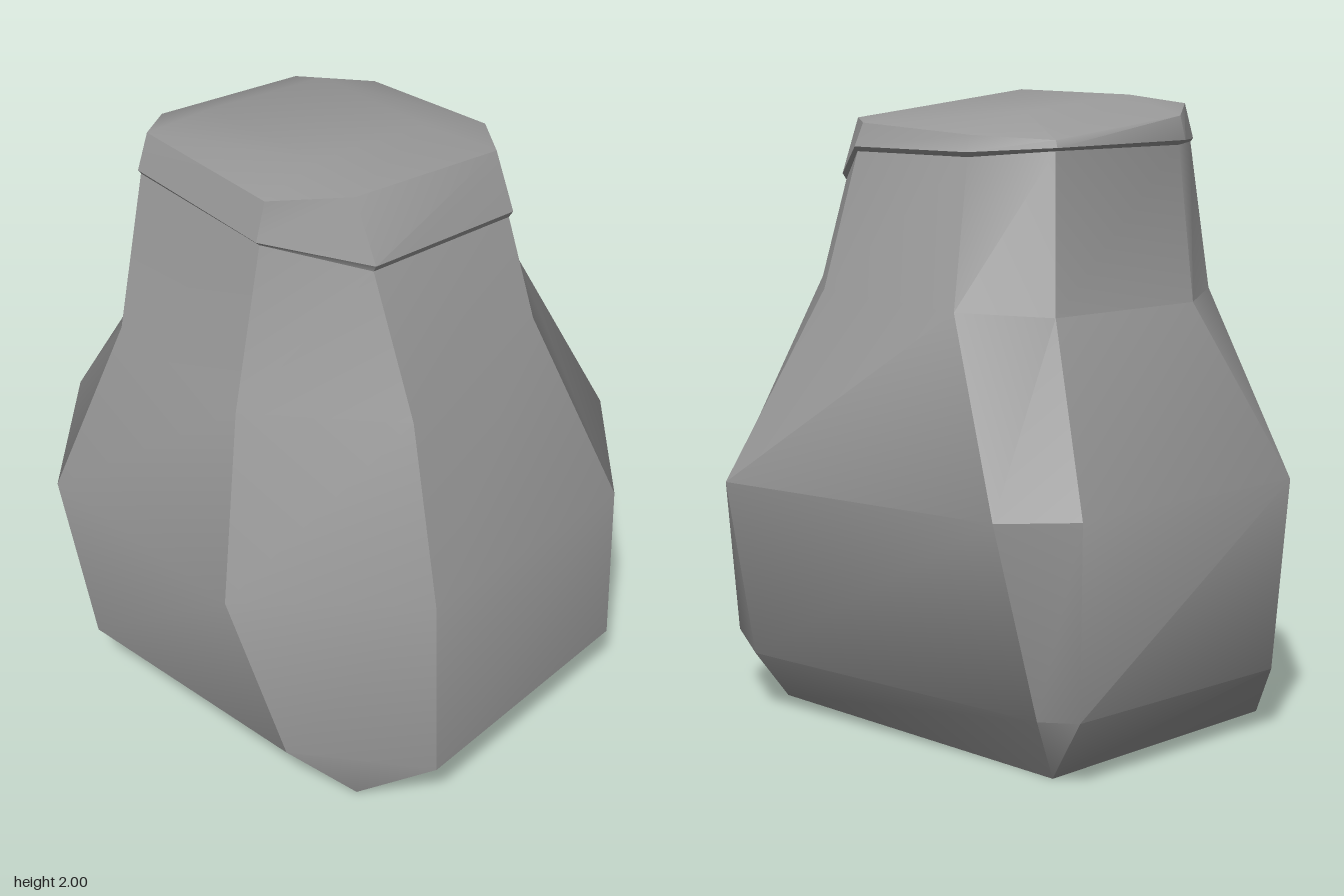
import * as THREE from 'three';
import { toCreasedNormals } from 'three/addons/utils/BufferGeometryUtils.js';

// Every ring has eight corners, anticlockwise from above:
// front -x, front +x, right front, right back, back +x, back -x, left back, left front.
const bottomRing = fourCorners([-0.51, 0, 0.6], [0.43, 0, 0.59], [0.43, 0, -0.63], [-0.53, 0, -0.63]);

const lowRing = [
  [-0.41, 0.2, 0.85], [0.475, 0.2, 0.785], [0.63, 0.2, 0.51], [0.57, 0.22, -0.7],
  [0.495, 0.22, -0.8], [-0.375, 0.21, -0.81], [-0.735, 0.2, -0.4], [-0.69, 0.2, 0.47],
];

const bellyRing = [
  [-0.38, 0.8, 0.8], [0.435, 0.8, 0.8], [0.8, 0.8, 0.43], [0.71, 0.82, -0.66],
  [0.52, 0.82, -0.83], [-0.4, 0.82, -0.85], [-0.8, 0.8, -0.47], [-0.8, 0.78, 0.33],
];

const shoulderRing = [
  [-0.295, 1.33, 0.61], [0.297, 1.4, 0.54], [0.54, 1.4, 0.25], [0.57, 1.38, -0.36],
  [0.34, 1.36, -0.55], [-0.255, 1.36, -0.57], [-0.6, 1.36, -0.345], [-0.63, 1.33, 0.21],
];

const neckRing = [
  [-0.27, 1.75, 0.415], [0.283, 1.717, 0.435], [0.415, 1.82, 0.23], [0.41, 1.82, -0.255],
  [0.265, 1.84, -0.475], [-0.285, 1.84, -0.48], [-0.475, 1.84, -0.365], [-0.495, 1.83, 0.18],
];

const rimRing = [
  [-0.27, 1.77, 0.425], [0.29, 1.737, 0.445], [0.427, 1.835, 0.23], [0.42, 1.835, -0.26],
  [0.27, 1.85, -0.488], [-0.295, 1.855, -0.497], [-0.48, 1.85, -0.372], [-0.51, 1.845, 0.183],
];

const lidRing = [
  [-0.262, 1.955, 0.33], [0.285, 1.917, 0.373], [0.4, 1.908, 0.22], [0.395, 1.885, -0.25],
  [0.258, 1.872, -0.47], [-0.29, 1.93, -0.48], [-0.44, 1.962, -0.37], [-0.472, 1.963, 0.18],
];

const crownRing = fourCorners([-0.24, 2, 0.16], [0.2, 1.955, 0.16], [0.2, 1.95, -0.29], [-0.24, 1.992, -0.31]);

// Chamfers that taper to a point share one corner.
function fourCorners(frontLeft, frontRight, backRight, backLeft) {
  return [frontLeft, frontRight, frontRight, backRight, backRight, backLeft, backLeft, frontLeft];
}

// Joins rings from bottom to top and closes the requested ends.
function loft(rings, capBottom, capTop) {
  const positions = [];
  const same = (a, b) => a.every((v, k) => v === b[k]);
  const triangle = (a, b, c) => {
    if (!same(a, b) && !same(b, c) && !same(a, c)) positions.push(...a, ...b, ...c);
  };
  for (let r = 0; r < rings.length - 1; r++) {
    const low = rings[r], high = rings[r + 1];
    for (let i = 0; i < 8; i++) {
      const j = (i + 1) % 8;
      triangle(low[i], low[j], high[j]);
      triangle(low[i], high[j], high[i]);
    }
  }
  const first = rings[0], last = rings[rings.length - 1];
  for (let i = 1; i < 7; i++) {
    if (capBottom) triangle(first[0], first[i + 1], first[i]);
    if (capTop) triangle(last[0], last[i], last[i + 1]);
  }
  const geometry = new THREE.BufferGeometry();
  geometry.setAttribute('position', new THREE.Float32BufferAttribute(positions, 3));
  return toCreasedNormals(geometry, 0.6);
}

export function createModel() {
  const group = new THREE.Group();
  group.name = 'facetedJar';
  const stone = new THREE.MeshStandardMaterial({ color: 0x999999 });
  stone.name = 'grey stone';

  // Bulging body with a chamfered foot
  const body = new THREE.Mesh(loft([bottomRing, lowRing, bellyRing, shoulderRing, neckRing], true, false), stone);
  body.name = 'body';

  // Slightly overhanging lid with a domed top
  const lid = new THREE.Mesh(loft([neckRing, rimRing, lidRing, crownRing], false, true), stone);
  lid.name = 'lid';

  group.add(body, lid);
  return group;
}
